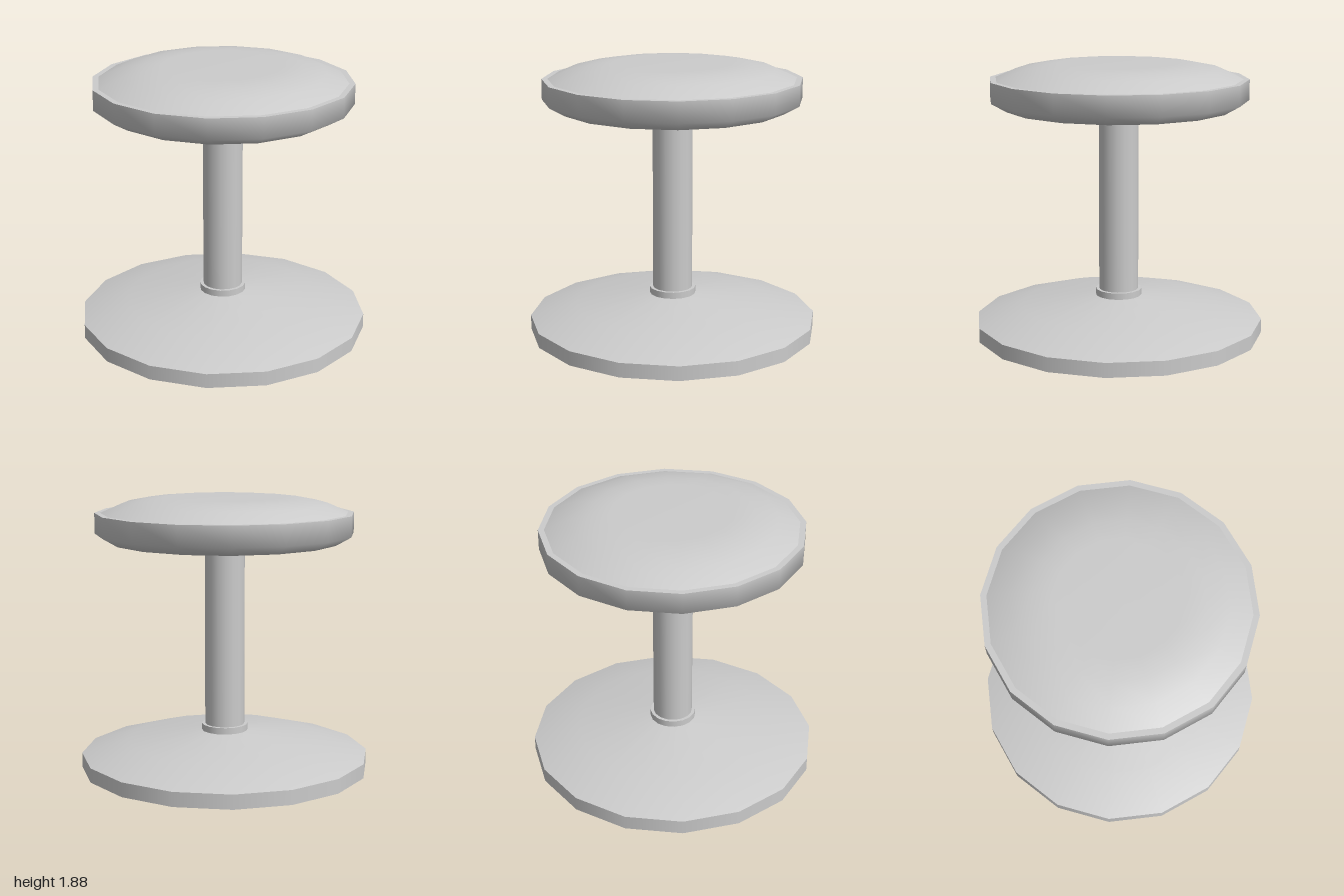
import * as THREE from 'three';

const SIDES = 16;
const material = new THREE.MeshStandardMaterial({ color: 0xcccccc, side: THREE.DoubleSide });

// Adds a turned surface; points run [radius, height] with the outside on the right
function turned(group, name, points) {
  const profile = points.map(([r, y]) => new THREE.Vector2(r, y));
  const mesh = new THREE.Mesh(new THREE.LatheGeometry(profile, SIDES), material);
  mesh.name = name;
  group.add(mesh);
}

export function createModel() {
  const stool = new THREE.Group();
  stool.name = 'stool';

  // Hollow foot: upright rim and shallow cone, open underneath
  const base = new THREE.Group();
  base.name = 'base';
  turned(base, 'baseRim', [[1, 0], [1, 0.1]]);
  turned(base, 'baseCone', [[1, 0.1], [0.68, 0.195], [0.16, 0.26]]);
  stool.add(base);

  // Collar and tubular post, open into the hollow foot
  const post = new THREE.Group();
  post.name = 'post';
  turned(post, 'collarWall', [[0.16, 0.26], [0.16, 0.305]]);
  turned(post, 'collarTop', [[0.16, 0.305], [0.137, 0.305]]);
  turned(post, 'postTube', [[0.137, 0.305], [0.137, 1.58]]);
  stool.add(post);

  // Seat: rounded pan, thin flat lip and domed cushion
  const seat = new THREE.Group();
  seat.name = 'seat';
  turned(seat, 'seatPan', [[0, 1.58], [0.78, 1.58], [0.885, 1.64], [0.885, 1.78]]);
  turned(seat, 'seatLip', [[0.885, 1.78], [0.845, 1.78]]);
  turned(seat, 'seatCushion', [[0.845, 1.78], [0.7, 1.843], [0.55, 1.872], [0.41, 1.884], [0, 1.884]]);
  stool.add(seat);

  return stool;
}
